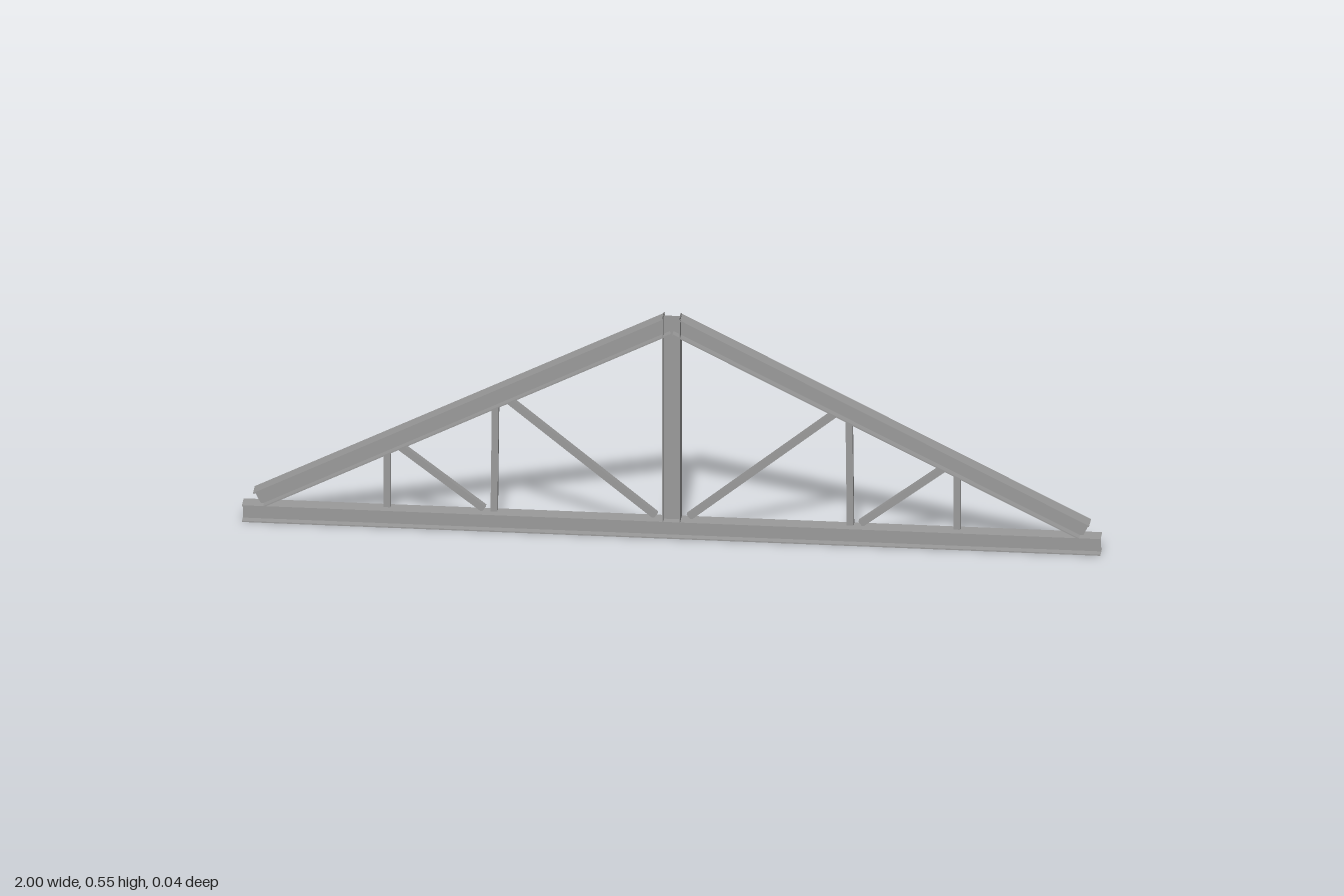
import * as THREE from 'three';

const steel = new THREE.MeshStandardMaterial({ color: 0x9b9b9b, side: THREE.DoubleSide, flatShading: true });
const H = 0.021; // half depth of the main sections
const T = 0.003; // wall thickness

// Quarter of the I outline as [y, z], mirrored into the full loop of twelve corners
const quarter = [[H, H], [H - T, H], [H - T, T / 2]];
const mirror = (points, sy, sz) => points.map(([y, z]) => [y * sy, z * sz]);
const outline = [
  ...quarter,
  ...mirror(quarter, -1, 1).reverse(),
  ...mirror(quarter, -1, -1),
  ...mirror(quarter, 1, -1).reverse(),
];

// Open-ended rolled I-section along x, two flanges joined by a central web
function iBeam(length) {
  const x = length / 2;
  const positions = [];
  outline.forEach(([y1, z1], i) => {
    const [y2, z2] = outline[(i + 1) % outline.length];
    positions.push(-x, y1, z1, -x, y2, z2, x, y2, z2);
    positions.push(-x, y1, z1, x, y2, z2, x, y1, z1);
  });
  const geometry = new THREE.BufferGeometry();
  geometry.setAttribute('position', new THREE.Float32BufferAttribute(positions, 3));
  geometry.computeVertexNormals();
  return geometry;
}

// Small square bar along x, fixed to the back face of the webs
const bar = (length) => new THREE.BoxGeometry(length, 0.016, 0.016).translate(0, 0, -0.0095);

// Lay a section of the given kind between two points of the truss plane
function member(name, section, [x1, y1], [x2, y2]) {
  const mesh = new THREE.Mesh(section(Math.hypot(x2 - x1, y2 - y1)), steel);
  mesh.name = name;
  mesh.position.set((x1 + x2) / 2, (y1 + y2) / 2, 0);
  mesh.rotation.z = Math.atan2(y2 - y1, x2 - x1);
  return mesh;
}

export function createModel() {
  const truss = new THREE.Group();
  truss.name = 'roofTruss';

  // Main frame
  truss.add(member('bottomChord', iBeam, [-1, H], [1, H]));
  truss.add(member('kingPost', iBeam, [0, 2 * H], [0, 0.552]));

  for (const [side, s] of [['left', 1], ['right', -1]]) {
    // Ends run left to right on both sides so the faces keep their direction
    const add = (name, section, a, b) => {
      const ends = [[s * a[0], a[1]], [s * b[0], b[1]]].sort((p, q) => p[0] - q[0]);
      truss.add(member(side + name, section, ...ends));
    };

    // Sloping top chord
    add('Rafter', iBeam, [0.965, 0.055], [0.012, 0.531]);

    // Uprights and diagonals of the web
    add('OuterUpright', bar, [0.664, 0.042], [0.664, 0.19]);
    add('InnerUpright', bar, [0.415, 0.042], [0.412, 0.315]);
    add('OuterDiagonal', bar, [0.439, 0.046], [0.642, 0.2]);
    add('InnerDiagonal', bar, [0.039, 0.046], [0.388, 0.327]);
  }
  return truss;
}
